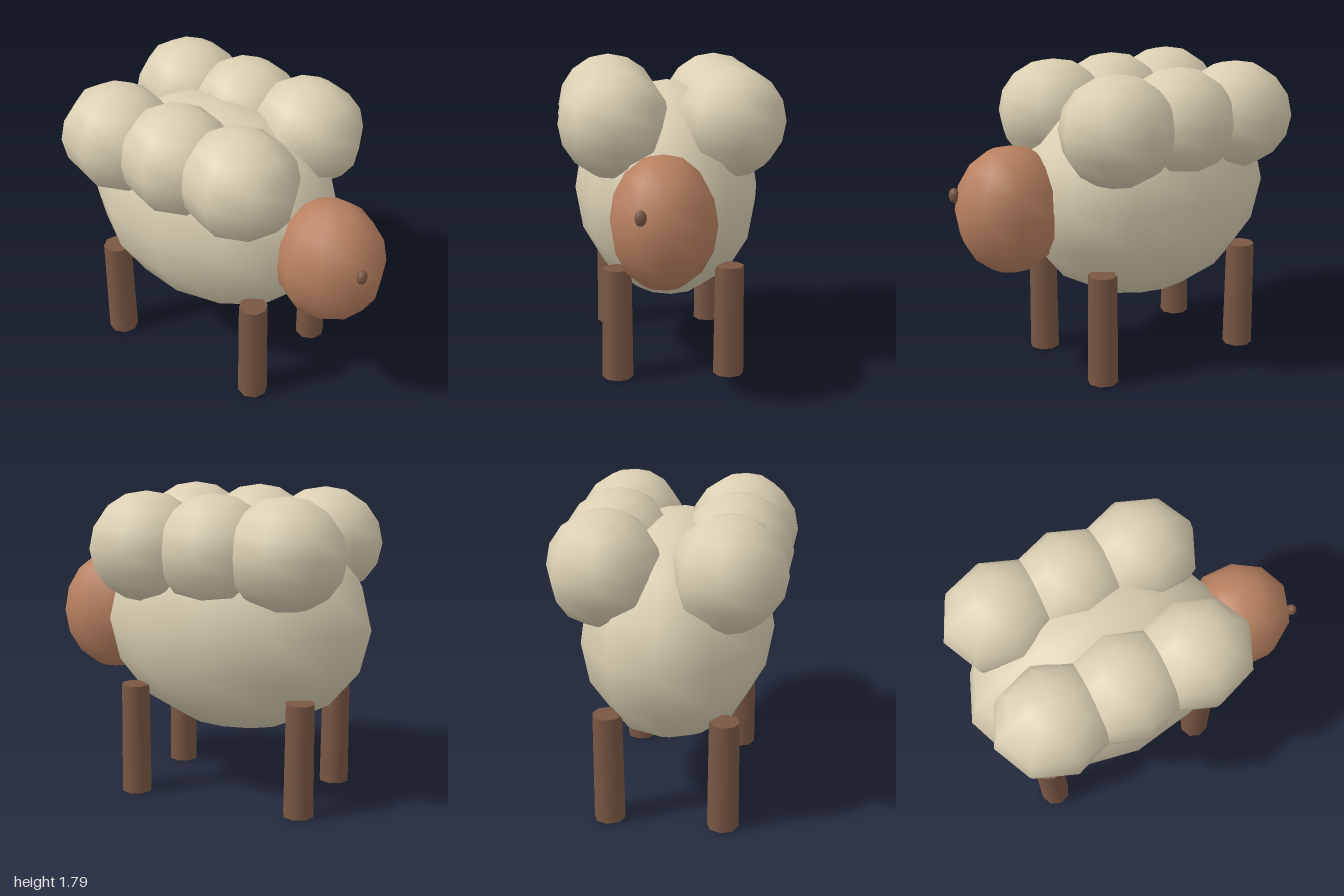
import * as THREE from 'three';

const wool = new THREE.MeshStandardMaterial({ name: 'creamWool', color: 0xdacfb2 });
const skin = new THREE.MeshStandardMaterial({ name: 'tanFace', color: 0xb88060 });
const bark = new THREE.MeshStandardMaterial({ name: 'darkBrown', color: 0x7a5744 });

// Low-sided ellipsoid with smooth normals
function ellipsoid(name, material, sides, position, radii) {
  const geometry = new THREE.SphereGeometry(1, sides, 8);
  geometry.scale(...radii);
  const mesh = new THREE.Mesh(geometry, material);
  mesh.name = name;
  mesh.position.set(...position);
  return mesh;
}

export function createModel() {
  const model = new THREE.Group();
  model.name = 'sheep';

  // Body, running along x
  model.add(ellipsoid('body', wool, 12, [-0.19, 1.025, 0], [0.81, 0.648, 0.555]));

  // Two rows of wool puffs along the back
  const fleece = new THREE.Group();
  fleece.name = 'fleece';
  for (const z of [0.333, -0.335]) {
    for (const x of [-0.605, -0.19, 0.228]) {
      fleece.add(ellipsoid('woolPuff', wool, 8, [x, 1.475, z], [0.35, 0.315, 0.317]));
    }
  }
  model.add(fleece);

  // Head, set slightly off centre, with its single eye
  const head = new THREE.Group();
  head.name = 'head';
  head.add(ellipsoid('face', skin, 10, [0.67, 1.003, 0.092], [0.33, 0.37, 0.298]));
  head.add(ellipsoid('eye', bark, 8, [0.955, 1.097, 0.232], [0.03, 0.043, 0.032]));
  model.add(head);

  // Four slightly tapered legs
  const legGeometry = new THREE.CylinderGeometry(0.084, 0.09, 0.655, 8);
  for (const [name, x] of [['hindLeg', -0.7], ['frontLeg', 0.323]]) {
    for (const z of [0.33, -0.32]) {
      const leg = new THREE.Mesh(legGeometry, bark);
      leg.name = name;
      leg.position.set(x, 0.3275, z);
      model.add(leg);
    }
  }
  return model;
}
